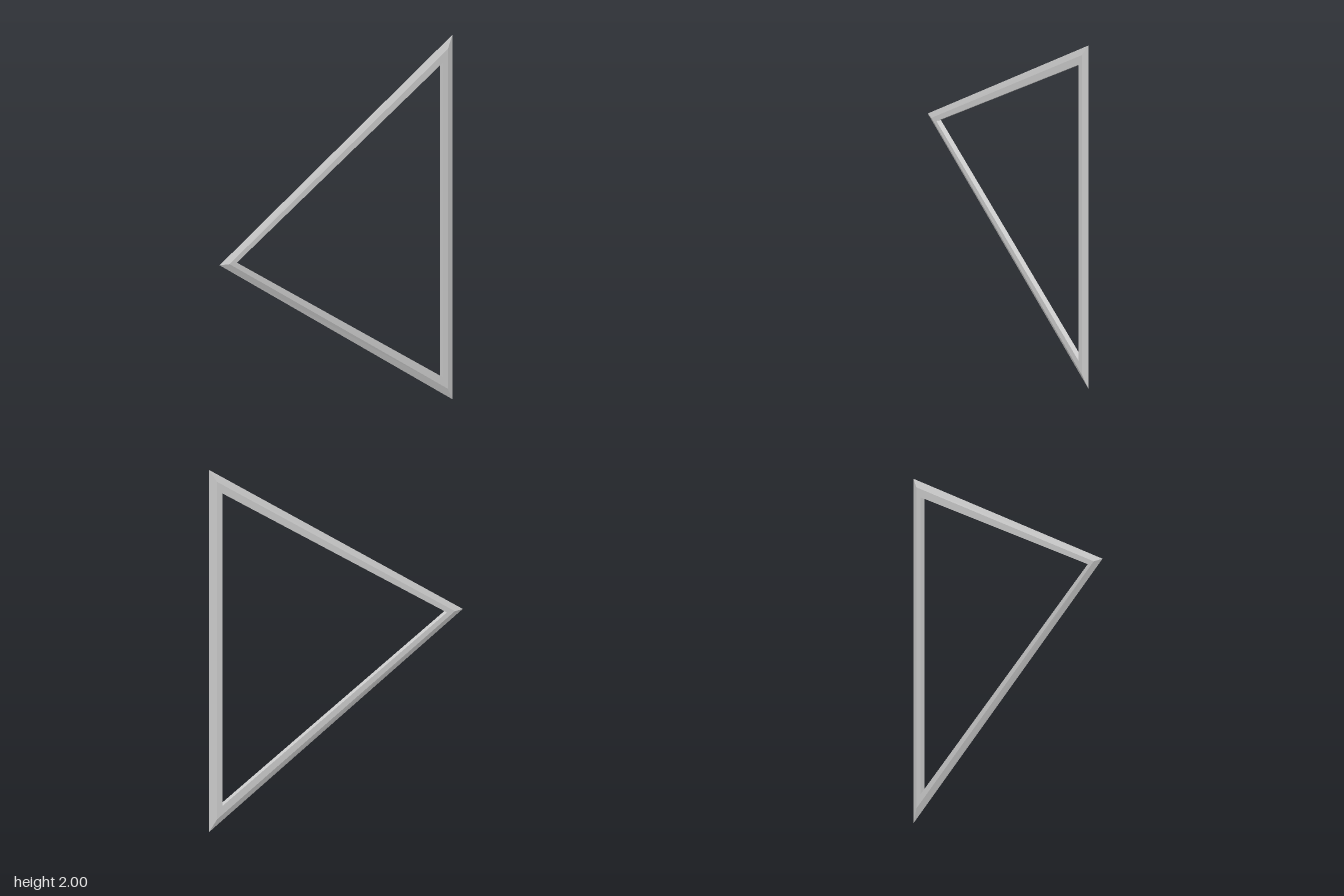
import * as THREE from 'three';

// Triangle corners, counter-clockwise from the front: tip on the right side, upright bar on the left side
const triangle = (barX, inset, tipX, z) => [
  [barX, inset, z],
  [barX, 2 - inset, z],
  [tipX, 1, z],
];

export function createModel() {
  const group = new THREE.Group();
  group.name = 'triangularFrame';
  const material = new THREE.MeshStandardMaterial({ color: 0xcccccc, flatShading: true });

  // Cross-section: sharp outer edge, bevel to the flat front, straight inner wall, flat back, bevel
  const rings = [
    triangle(0.76, 0, -0.76, 0),
    triangle(0.72, 0.068, -0.705, 0.014),
    triangle(0.688, 0.137, -0.657, 0.014),
    triangle(0.688, 0.137, -0.657, -0.014),
    triangle(0.72, 0.068, -0.705, -0.014),
  ];

  // One mitred bar per side of the triangle
  ['uprightBar', 'upperBar', 'lowerBar'].forEach((name, i) => {
    const j = (i + 1) % 3;
    const points = [];
    rings.forEach((ring, r) => {
      const next = rings[(r + 1) % rings.length];
      points.push(ring[i], ring[j], next[j], ring[i], next[j], next[i]);
    });
    const geometry = new THREE.BufferGeometry();
    geometry.setAttribute('position', new THREE.Float32BufferAttribute(points.flat(), 3));
    geometry.computeVertexNormals();
    const bar = new THREE.Mesh(geometry, material);
    bar.name = name;
    group.add(bar);
  });

  return group;
}
